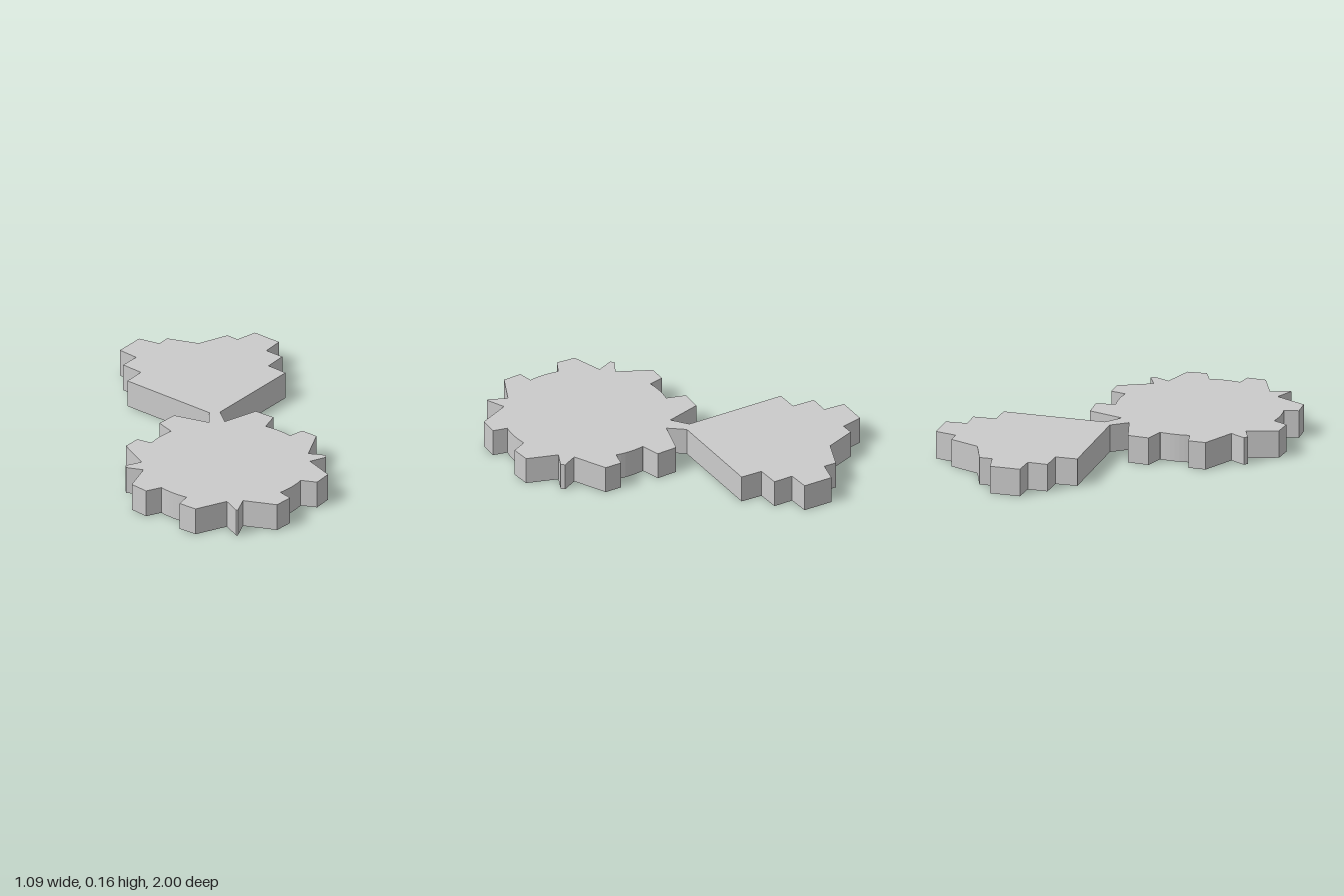
import * as THREE from 'three';

const HEIGHT = 0.155;
const HUB = { z: 0.445, r: 0.457 };

// Points along the round rim of the toothed disc; angles in degrees from +x towards +z
function rim(from, to, steps = 6) {
  return Array.from({ length: steps + 1 }, (_, i) => {
    const a = THREE.MathUtils.degToRad(from + ((to - from) * i) / steps);
    return [HUB.r * Math.cos(a), HUB.z + HUB.r * Math.sin(a)];
  });
}

// Flat plate from a half outline of [x, z] points, mirrored across x = 0
function mirroredPlate(name, half, material) {
  const mirrored = half.filter(([x]) => x > 0).reverse().map(([x, z]) => [-x, z]);
  const shape = new THREE.Shape([...half, ...mirrored].map(([x, z]) => new THREE.Vector2(x, -z)));
  const geometry = new THREE.ExtrudeGeometry(shape, { depth: HEIGHT, bevelEnabled: false });
  geometry.rotateX(-Math.PI / 2);
  const mesh = new THREE.Mesh(geometry, material);
  mesh.name = name;
  return mesh;
}

export function createModel() {
  const group = new THREE.Group();
  group.name = 'toothedDiscWithTail';
  const material = new THREE.MeshStandardMaterial({ color: 0xcccccc, flatShading: true });

  const outline = [
    // stepped back edge of the tail
    [0, -0.913], [0.164, -0.986], [0.212, -0.934], [0.315, -1],
    [0.433, -0.88], [0.354, -0.79], [0.433, -0.712], [0.347, -0.617], [0.43, -0.528],
    // taper down to the narrow neck
    [0.029, -0.12], [0.043, -0.01],
    // back tooth
    [0.222, -0.11], [0.31, -0.03], [0.258, 0.065],
    ...rim(-55.5, -34.5),
    // side teeth
    [0.449, 0.139], [0.518, 0.208], [0.453, 0.4],
    [0.544, 0.428], [0.544, 0.453], [0.453, 0.489],
    [0.534, 0.648], [0.465, 0.73],
    ...rim(34, 56),
    // front teeth and point
    [0.3, 0.892], [0.222, 0.963], [0.044, 0.896], [0.005, 1], [0, 1],
  ];

  group.add(mirroredPlate('plate', outline, material));
  return group;
}
